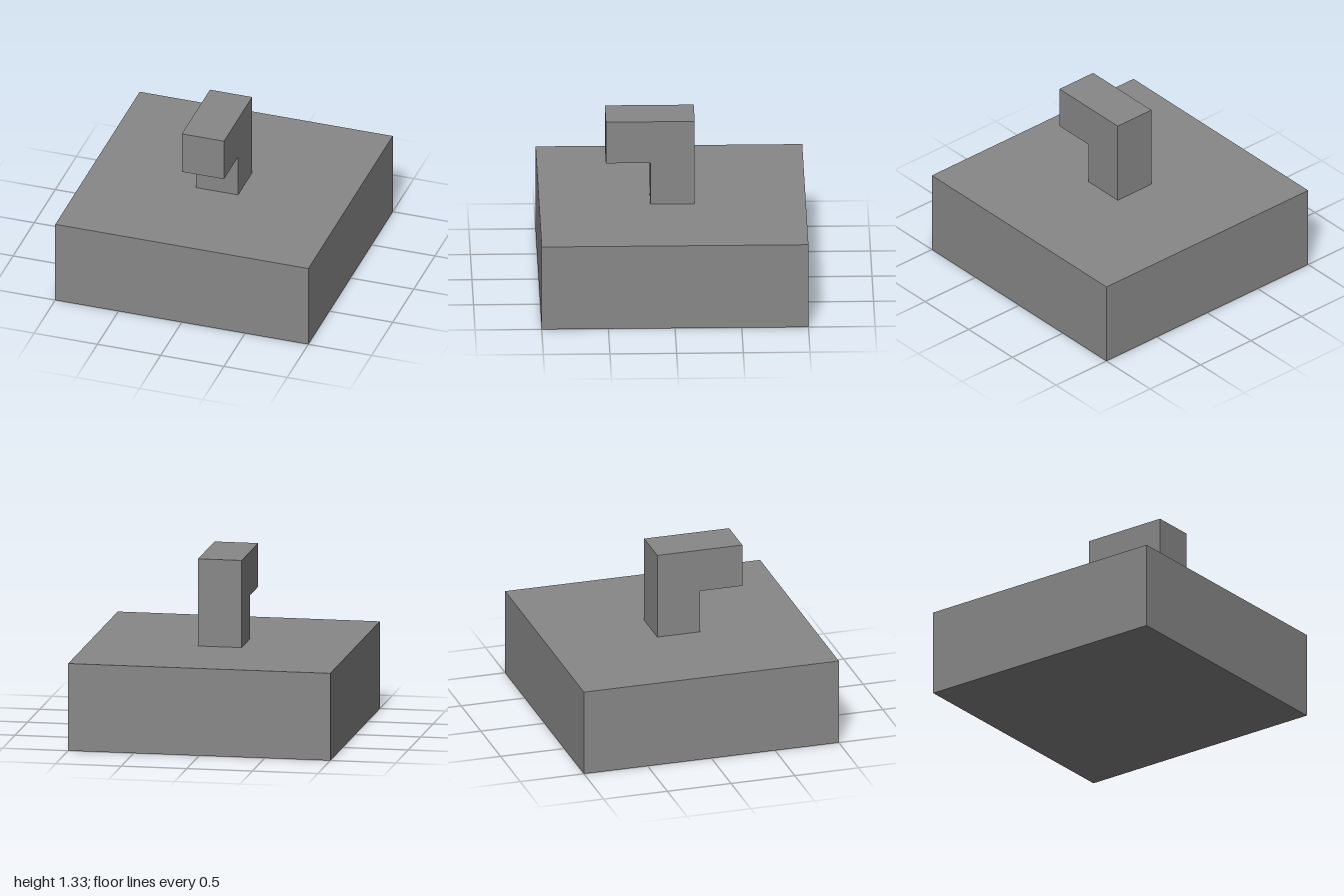
import * as THREE from 'three';

const THIRD = 1 / 3, HALF = 1 / 6; // post width is a third of a unit

export function createModel() {
  const model = new THREE.Group();
  const grey = new THREE.MeshStandardMaterial({ color: 0x888888 });
  grey.name = 'grey';

  // Square base slab
  const base = new THREE.Mesh(new THREE.BoxGeometry(2, 2 * THIRD, 2), grey);
  base.name = 'base';
  base.position.y = THIRD;
  model.add(base);

  // Upright post with an arm reaching forward, drawn as (z, y) and extruded across x
  const profile = new THREE.Shape([
    [-HALF, 2 * THIRD], [HALF, 2 * THIRD], [HALF, 1],
    [0.5, 1], [0.5, 4 * THIRD], [-HALF, 4 * THIRD],
  ].map(([z, y]) => new THREE.Vector2(z, y)));
  const hookGeometry = new THREE.ExtrudeGeometry(profile, { depth: THIRD, bevelEnabled: false });
  hookGeometry.translate(0, 0, -HALF).rotateY(-Math.PI / 2);
  const hook = new THREE.Mesh(hookGeometry, grey);
  hook.name = 'hookPost';
  model.add(hook);

  return model;
}
